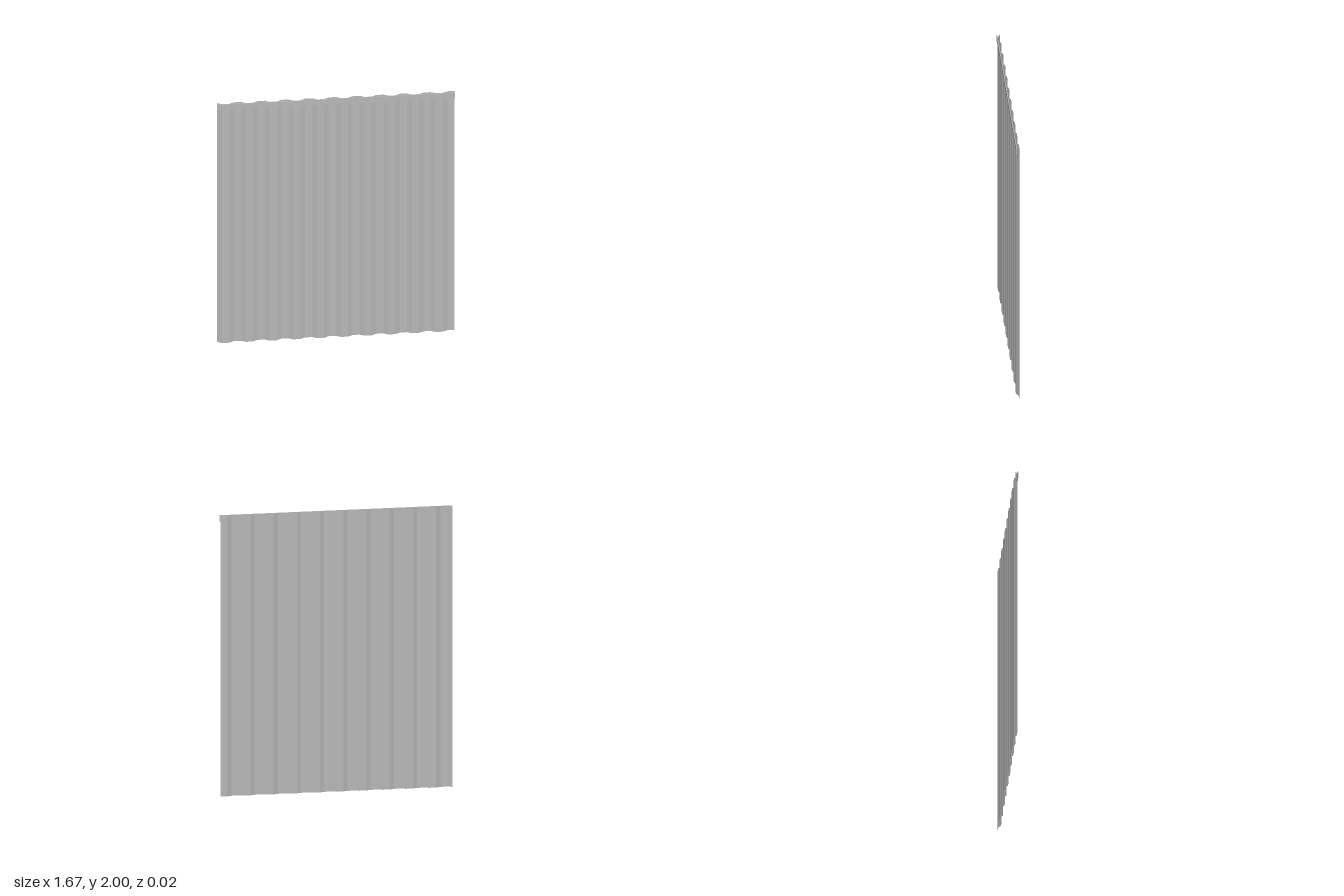
import * as THREE from 'three';

export function createModel() {
  const group = new THREE.Group();
  const steel = new THREE.MeshStandardMaterial({ color: 0xb8b8b8, side: THREE.DoubleSide });
  steel.name = 'galvanised grey';

  const W = 1.667, H = 2, ribs = 10, pitch = W / ribs;
  const back = -0.011, crest = 0.006, front = 0.011;

  // Corrugated sheet: trapezoid ribs, flat-shaded strips
  const profile = [];
  for (let i = 0; i < ribs; i++) {
    const x = -W / 2 + i * pitch;
    profile.push([x, back], [x + 0.2 * pitch, crest], [x + 0.5 * pitch, crest], [x + 0.7 * pitch, back]);
  }
  profile.push([W / 2, back]);
  const pos = [];
  for (let i = 0; i < profile.length - 1; i++) {
    const [x0, z0] = profile[i], [x1, z1] = profile[i + 1];
    pos.push(x0, 0, z0, x1, 0, z1, x1, H, z1, x0, 0, z0, x1, H, z1, x0, H, z0);
  }
  const sheetGeo = new THREE.BufferGeometry();
  sheetGeo.setAttribute('position', new THREE.Float32BufferAttribute(pos, 3));
  sheetGeo.computeVertexNormals();
  const sheet = new THREE.Mesh(sheetGeo, steel);
  sheet.name = 'corrugatedSheet';
  group.add(sheet);

  // Top rail: shallow channel open towards the sheet
  const rail = new THREE.Group();
  rail.name = 'topRail';
  const railH = 0.046, t = 0.002;
  const addBar = (name, h, d, y, z) => {
    const bar = new THREE.Mesh(new THREE.BoxGeometry(W, h, d), steel);
    bar.name = name;
    bar.position.set(0, y, z);
    rail.add(bar);
  };
  addBar('railFace', railH, t, H - railH / 2, front - t / 2);
  const lip = front - t - crest;
  for (const [name, y] of [['railTopLip', H - t / 2], ['railBottomLip', H - railH + t / 2]])
    addBar(name, t, lip, y, crest + lip / 2);
  group.add(rail);

  return group;
}
